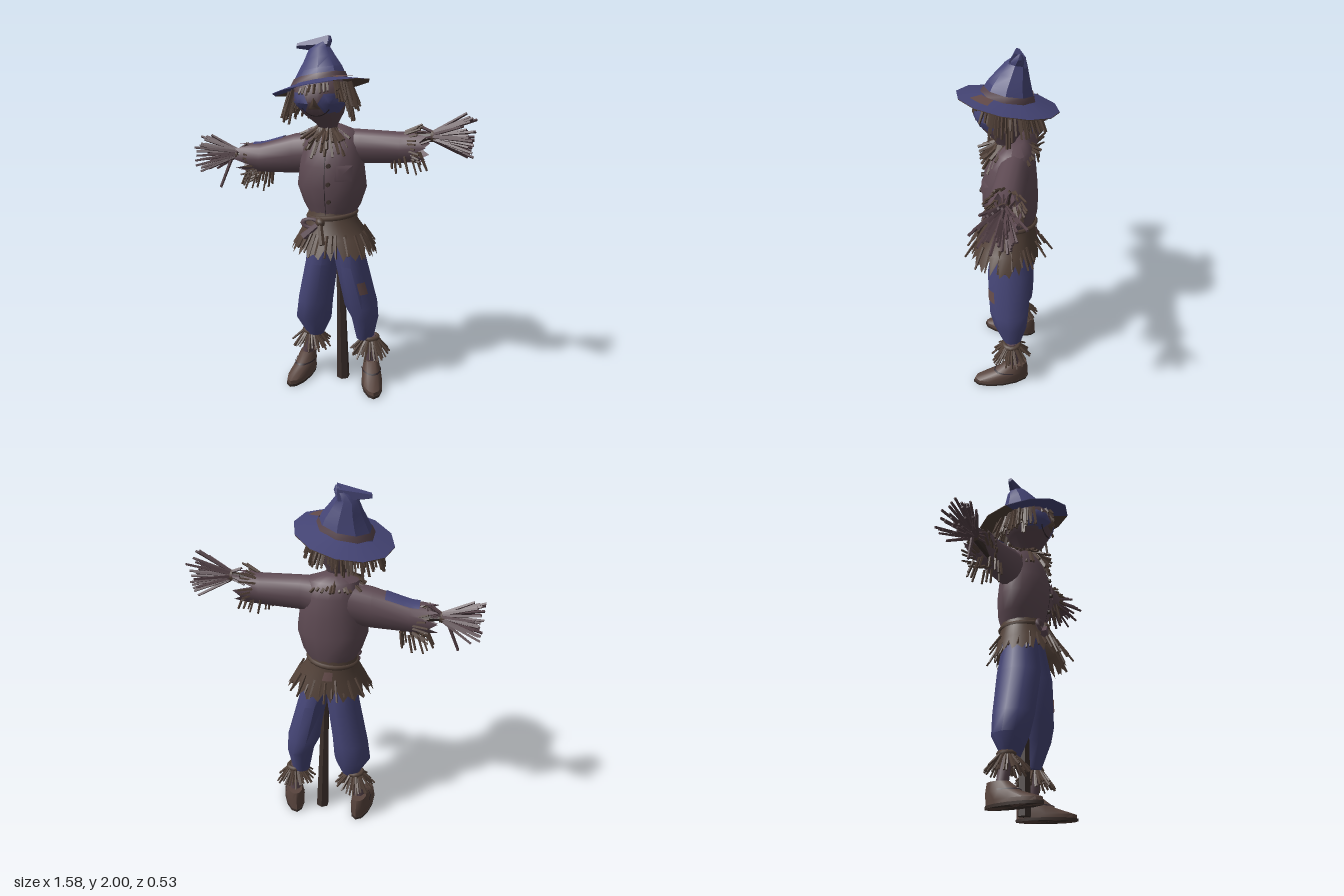
import * as THREE from 'three';
import { mergeGeometries, toCreasedNormals } from 'three/addons/utils/BufferGeometryUtils.js';

const mat = (name, color) => new THREE.MeshStandardMaterial({ name, color, side: THREE.DoubleSide });
const V = (x, y, z) => new THREE.Vector3(x, y, z);

// Skin through elliptical sections [x, y, z, a, b], ordered upward (axis 'y') or toward +x (axis 'x').
// jag: index of a ring whose odd points are pulled back to make a torn hem.
function loft(sections, { sides = 16, axis = 'y', t0 = 0, t1 = Math.PI * 2, grow = 0, cap = true, jag = -1, crease = 0.8 } = {}) {
  const point = (s, i) => {
    const t = t0 + (t1 - t0) * i / sides, c = Math.cos(t) * (s[3] + grow), d = Math.sin(t) * (s[4] + grow);
    return axis === 'y' ? V(s[0] + c, s[1], s[2] + d) : V(s[0], s[1] + c, s[2] - d);
  };
  const rings = sections.map(s => Array.from({ length: sides + 1 }, (_, i) => point(s, i % sides === 0 && t1 - t0 > 6.28 ? 0 : i)));
  if (jag >= 0) {
    const next = rings[jag === 0 ? 1 : jag - 1];
    rings[jag].forEach((p, i) => { if (i % 2) p.lerp(next[i], 0.55 + 0.3 * Math.sin(i * 2.3)); });
  }
  const pos = [], tri = (...ps) => ps.forEach(p => pos.push(p.x, p.y, p.z));
  for (let r = 0; r < rings.length - 1; r++) for (let i = 0; i < sides; i++) {
    const [a, b, c, d] = [rings[r][i], rings[r][i + 1], rings[r + 1][i], rings[r + 1][i + 1]];
    tri(a, c, b); tri(b, c, d);
  }
  if (cap) for (let i = 0; i < sides; i++) {
    const lo = sections[0], hi = sections.at(-1), top = rings.at(-1);
    tri(V(lo[0], lo[1], lo[2]), rings[0][i], rings[0][i + 1]);
    tri(V(hi[0], hi[1], hi[2]), top[i + 1], top[i]);
  }
  const g = new THREE.BufferGeometry();
  g.setAttribute('position', new THREE.Float32BufferAttribute(pos, 3));
  return toCreasedNormals(g, crease);
}

// Section of a loft at coordinate v along its axis
function sectionAt(sections, v, k = 1) {
  let i = 0;
  while (i < sections.length - 2 && sections[i + 1][k] < v) i++;
  const f = (v - sections[i][k]) / (sections[i + 1][k] - sections[i][k]);
  return sections[i].map((a, j) => a + (sections[i + 1][j] - a) * f);
}

// Thin patch lying on a loft between two coordinates and two angles
const patch = (sections, v0, v1, t0, t1, axis = 'y') => loft(
  [0, 0.25, 0.5, 0.75, 1].map(f => sectionAt(sections, v0 + (v1 - v0) * f, axis === 'x' ? 0 : 1)),
  { sides: 6, axis, t0, t1, grow: 0.006, cap: false });

const frontZ = (sections, x, y) => {
  const s = sectionAt(sections, y);
  return s[2] + s[4] * Math.sqrt(Math.max(0, 1 - ((x - s[0]) / s[3]) ** 2));
};
// Flat shape pressed onto the front of a loft
function decal(g, sections, x, y, lift = 0.007) {
  g.translate(x, y, 0);
  const p = g.attributes.position;
  for (let i = 0; i < p.count; i++) p.setZ(i, frontZ(sections, p.getX(i), p.getY(i)) + lift);
  g.computeVertexNormals();
  return g;
}

// Tapered stick between two points
function rod(a, b, r0, r1, sides = 4) {
  const d = b.clone().sub(a), g = new THREE.CylinderGeometry(r1, r0, d.length(), sides);
  g.applyQuaternion(new THREE.Quaternion().setFromUnitVectors(V(0, 1, 0), d.normalize()));
  return toCreasedNormals(g.translate((a.x + b.x) / 2, (a.y + b.y) / 2, (a.z + b.z) / 2), 0.8);
}

let seed = 7;
const rnd = () => (seed = (seed * 16807) % 2147483647) / 2147483647;

// Spray of straws around an axis, opening from radius r0 to r1
function straws(origin, dir, r0, r1, n, { fill = false, from = 0, arc = Math.PI * 2, r = 0.008 } = {}) {
  const u = Math.abs(dir.y) > Math.abs(dir.x) ? V(1, 0, 0) : V(0, 1, 0), list = [];
  for (let i = 0; i < n; i++) {
    const a = from + arc * (i + rnd() * 0.8) / n, k = fill ? Math.sqrt(rnd()) : 0.85 + 0.3 * rnd();
    const side = u.clone().multiplyScalar(Math.cos(a) * k).add(V(0, 0, Math.sin(a) * k));
    const start = origin.clone().addScaledVector(side, r0);
    const end = origin.clone().addScaledVector(side, r1).addScaledVector(dir, 0.65 + 0.35 * rnd());
    list.push(rod(start, end, r, r * 0.75));
  }
  return mergeGeometries(list);
}

export function createModel() {
  seed = 7;
  const root = new THREE.Group();
  root.name = 'scarecrow';
  const shirt = mat('shirt cloth', 0x5f4b54), blue = mat('blue cloth', 0x454576), sack = mat('sack cloth', 0x58454d);
  const straw = mat('straw', 0x524138), handStraw = mat('hand straw', 0x544147), brown = mat('brown cloth', 0x524138);
  const wood = mat('wood', 0x3b2f2b), leather = mat('leather', 0x58443d), tan = mat('tan patch', 0x644b4a), dark = mat('dark thread', 0x2f262b);
  const add = (name, g, m, parent = root) => {
    const mesh = new THREE.Mesh(g, m);
    mesh.name = name;
    parent.add(mesh);
    return mesh;
  };

  // Pole
  add('pole', rod(V(0.083, 0, -0.05), V(0.055, 1.0, -0.04), 0.038, 0.016, 6), wood);

  // Torso with placket, buttons and pocket
  const torso = [[0.02, 1.02, -0.03, 0.12, 0.12], [0.02, 1.1, -0.03, 0.165, 0.14], [0.02, 1.2, -0.02, 0.198, 0.153],
    [0.02, 1.32, -0.02, 0.182, 0.145], [0.02, 1.42, -0.03, 0.17, 0.125], [0.015, 1.5, -0.04, 0.14, 0.09], [0.01, 1.53, -0.04, 0.06, 0.05]];
  add('shirt', loft(torso), shirt);
  add('placket', patch(torso, 1.05, 1.42, 1.56, 1.585), dark);
  for (const y of [1.33, 1.23, 1.13]) {
    const z = frontZ(torso, 0.04, y);
    add('button', rod(V(0.04, y, z - 0.01), V(0.04, y, z + 0.012), 0.012, 0.012, 8), wood);
  }
  add('pocket', decal(new THREE.RingGeometry(0.001, 0.06, 4, 4, Math.PI / 4), torso, 0.12, 1.29, 0.009), shirt);

  // Sleeves, inner sticks, cuffs of straw and straw hands
  const leftArm = [[0.05, 1.39, -0.05, 0.12, 0.085], [0.18, 1.415, -0.05, 0.095, 0.08], [0.4, 1.42, -0.05, 0.085, 0.085], [0.54, 1.435, -0.055, 0.085, 0.085]];
  const rightArm = [[-0.55, 1.315, -0.05, 0.078, 0.078], [-0.4, 1.32, -0.05, 0.085, 0.08], [-0.2, 1.355, -0.05, 0.113, 0.085], [-0.03, 1.38, -0.05, 0.12, 0.085]];
  add('leftSleeve', loft(leftArm, { axis: 'x', cap: false, jag: 3 }), shirt);
  add('rightSleeve', loft(rightArm, { axis: 'x', cap: false, jag: 0 }), shirt);
  add('sleevePatch', patch(rightArm, -0.45, -0.27, -0.4, 0.7, 'x'), blue);
  for (const [side, s, y, slope] of [['left', 1, 1.487, 0.005], ['right', -1, 1.33, -0.03]]) {
    const wrist = V(s * 0.57, y, -0.06);
    add(side + 'ArmStick', rod(V(s * 0.2, y - 0.04, -0.05), wrist, 0.022, 0.02, 6), wood);
    add(side + 'Hand', straws(wrist, V(s * 0.22, slope, 0), 0.025, 0.13, 38, { fill: true, r: 0.01 }), handStraw);
    add(side + 'HandBack', straws(wrist, V(s * -0.09, -slope, 0), 0.02, 0.05, 10, { fill: true }), handStraw);
    add(side + 'WristTie', rod(wrist.clone().add(V(-0.015, 0, 0)), wrist.clone().add(V(0.015, 0, 0)), 0.031, 0.031, 8), brown);
    add(side + 'CuffStraw', straws(V(s * 0.42, y - 0.045, -0.055), V(s * 0.09, 0, 0), 0.06, 0.1, 24), straw);
    add(side + 'CuffFringe', straws(V(s * 0.42, y - 0.09, -0.055), V(s * 0.03, -0.11, 0), 0.07, 0.085, 14, { r: 0.008 }), straw);
  }
  add('droopingStraw', rod(V(-0.59, 1.32, -0.05), V(-0.665, 1.13, -0.03), 0.01, 0.008), handStraw);

  // Straw collar
  add('collarUpper', straws(V(0, 1.52, -0.015), V(0, -0.07, 0), 0.05, 0.15, 36, { r: 0.011 }), straw);
  add('collarLower', straws(V(0, 1.52, 0.0), V(0, -0.15, 0), 0.05, 0.13, 36, { r: 0.011 }), straw);

  // Head and face
  const head = [[0.01, 1.48, 0, 0.035, 0.035], [0, 1.54, 0.01, 0.06, 0.06], [-0.02, 1.6, 0.02, 0.112, 0.115],
    [-0.035, 1.67, 0.025, 0.145, 0.15], [-0.04, 1.75, 0.015, 0.14, 0.14], [-0.04, 1.8, 0, 0.1, 0.1]];
  add('head', loft(head, { sides: 18 }), sack);
  for (const x of [-0.115, 0.055])
    add('eyePatch', decal(new THREE.RingGeometry(0.001, 0.06, 6, 4), head, x, 1.663), blue);
  add('nose', decal(new THREE.RingGeometry(0.001, 0.042, 3, 3, Math.PI / 2), head, -0.025, 1.655, 0.011), brown);
  add('mouth', decal(new THREE.RingGeometry(0.087, 0.092, 16, 1, Math.PI + 0.6, Math.PI - 1.2), head, -0.025, 1.685), dark);

  // Tilted hat, sheared so it rises to the left and front
  const tilt = new THREE.Matrix4().set(1, 0, 0, -0.037, 0.2, 1, 0.16, 1.735, 0, 0, 1, 0, 0, 0, 0, 1);
  const hat = new THREE.Group();
  hat.name = 'hat';
  root.add(hat);
  const hatPart = (name, g, m) => add(name, g.applyMatrix4(tilt), m, hat);
  const crown = [[-0.01, 0.02, 0, 0.155, 0.14], [-0.008, 0.09, -0.01, 0.122, 0.115], [-0.014, 0.15, -0.025, 0.087, 0.085],
    [-0.022, 0.205, -0.04, 0.06, 0.057], [0, 0.24, -0.055, 0.045, 0.035], [0.025, 0.268, -0.062, 0.008, 0.008]];
  const underside = [[0, 0.016, 0, 0.1, 0.1], [0, -0.008, 0, 0.265, 0.265], [0, -0.004, 0, 0.265, 0.265]];
  hatPart('brimTop', loft([[0, -0.004, 0, 0.265, 0.265], [0, 0.03, 0, 0.13, 0.13]], { sides: 12, cap: false }), blue);
  hatPart('brimUndersideFront', loft(underside, { sides: 4, t0: Math.PI / 3, t1: Math.PI, cap: false }), blue);
  hatPart('brimUndersideBack', loft(underside, { sides: 8, t0: Math.PI, t1: Math.PI * 7 / 3, cap: false }), brown);
  hatPart('crown', loft(crown, { sides: 9, crease: 0.6 }), blue);
  hatPart('hatBand', loft([sectionAt(crown, 0.028), sectionAt(crown, 0.06)], { sides: 9, grow: 0.005, cap: false }), sack);
  hatPart('foldedTip', rod(V(0.025, 0.225, -0.055), V(-0.145, 0.243, -0.03), 0.048, 0.014, 5), blue);
  hatPart('brimPatch', loft([[0, 0.016, 0, 0.215, 0.215], [0, 0.033, 0, 0.15, 0.15]], { sides: 3, t0: 0.35, t1: 0.92, cap: false }), tan);

  // Hair hanging under the brim, leaving the face open
  const hair = (name, dy, r0, r1, n, from, arc) => hatPart(name, straws(V(0, -0.002, 0), V(0, dy, 0), r0, r1, n, { from, arc, r: 0.009 }), straw);
  hair('hairOuter', -0.15, 0.145, 0.19, 50, 2.4, 4.6);
  hair('hairInner', -0.12, 0.14, 0.165, 40, 2.3, 4.8);
  hair('hairSideLeft', -0.22, 0.15, 0.19, 9, -0.3, 0.8);
  hair('hairSideRight', -0.18, 0.15, 0.19, 9, 2.6, 0.8);
  hair('forelock', -0.05, 0.15, 0.17, 12, 0.7, 1.7);

  // Torn skirt with a back patch, rope belt and knot
  const skirt = [[0.04, 0.82, 0.005, 0.25, 0.195], [0.035, 0.92, -0.01, 0.2, 0.165], [0.02, 1.0, -0.025, 0.145, 0.135], [0.02, 1.06, -0.03, 0.132, 0.128]];
  add('skirt', loft(skirt, { sides: 44, cap: false, jag: 0 }), brown);
  add('skirtPatch', patch(skirt, 0.95, 1.0, 4.55, 4.85), tan);
  add('skirtFringe', straws(V(0.035, 0.95, -0.005), V(0, -0.12, 0), 0.165, 0.225, 34, { r: 0.008 }), brown);
  const belt = add('ropeBelt', new THREE.TorusGeometry(0.135, 0.014, 6, 24).rotateX(Math.PI / 2), brown);
  belt.position.set(0.02, 1.03, -0.025);
  belt.rotation.z = 0.1;
  add('knot', new THREE.SphereGeometry(0.028, 8, 6).translate(-0.01, 1.01, 0.115), brown);
  add('beltTailOuter', rod(V(-0.01, 1.01, 0.12), V(-0.1, 0.93, 0.145), 0.014, 0.022, 5), shirt);
  add('beltTailInner', rod(V(-0.01, 1.01, 0.12), V(0.02, 0.9, 0.175), 0.014, 0.018, 5), brown);
  add('beltLoop', new THREE.TorusGeometry(0.032, 0.012, 5, 10).scale(1.4, 0.8, 1).translate(-0.065, 1.0, 0.11), shirt);

  // Trousers, ankles, ankle straw and shoes
  const legs = {
    right: [[-0.09, 0.27, -0.05, 0.05, 0.05], [-0.1, 0.38, -0.05, 0.108, 0.1], [-0.085, 0.5, -0.04, 0.105, 0.115], [-0.042, 0.75, -0.03, 0.095, 0.125], [-0.025, 0.97, -0.03, 0.085, 0.095]],
    left: [[0.21, 0.27, -0.06, 0.05, 0.05], [0.212, 0.42, -0.05, 0.08, 0.1], [0.19, 0.5, -0.04, 0.098, 0.115], [0.132, 0.75, -0.03, 0.088, 0.125], [0.08, 0.97, -0.03, 0.085, 0.095]],
  };
  const shoe = [[0, 0, 0, 0.058, 0.165], [0, 0.035, -0.002, 0.06, 0.163], [0, 0.075, -0.06, 0.054, 0.105], [0, 0.13, -0.09, 0.042, 0.065]];
  for (const [side, x, shoeX, turn] of [['right', -0.12, -0.162, -0.12], ['left', 0.245, 0.272, 0.3]]) {
    add(side + 'TrouserLeg', loft(legs[side], { sides: 10 }), blue);
    add(side + 'Ankle', rod(V(x, 0.29, -0.06), V(shoeX - Math.sin(turn) * 0.08, 0.08, -0.075), 0.032, 0.034, 8), sack);
    add(side + 'AnkleStraw', straws(V(x, 0.28, -0.06), V(0, -0.11, 0), 0.035, 0.108, 34), straw);
    add(side + 'AnkleStrawInner', straws(V(x, 0.28, -0.06), V(0, -0.11, 0), 0.035, 0.07, 18), straw);
    add(side + 'AnkleTie', new THREE.TorusGeometry(0.042, 0.014, 6, 12).rotateX(Math.PI / 2).translate(x, 0.28, -0.06), brown);
    const foot = new THREE.Group();
    foot.name = side + 'Shoe';
    foot.position.x = shoeX;
    foot.rotation.y = turn;
    add('shoeUpper', loft(shoe, { sides: 12 }), leather, foot);
    add('shoeStrap', patch(shoe, 0.08, 0.087, 0, Math.PI), dark, foot);
    add('shoeSole', loft([[0, 0, 0, 0.061, 0.168], [0, 0.015, 0, 0.062, 0.169]], { sides: 12 }), wood, foot);
    root.add(foot);
  }
  add('kneePatch', patch(legs.left, 0.59, 0.66, 0.65, 1.15), tan);
  return root;
}
